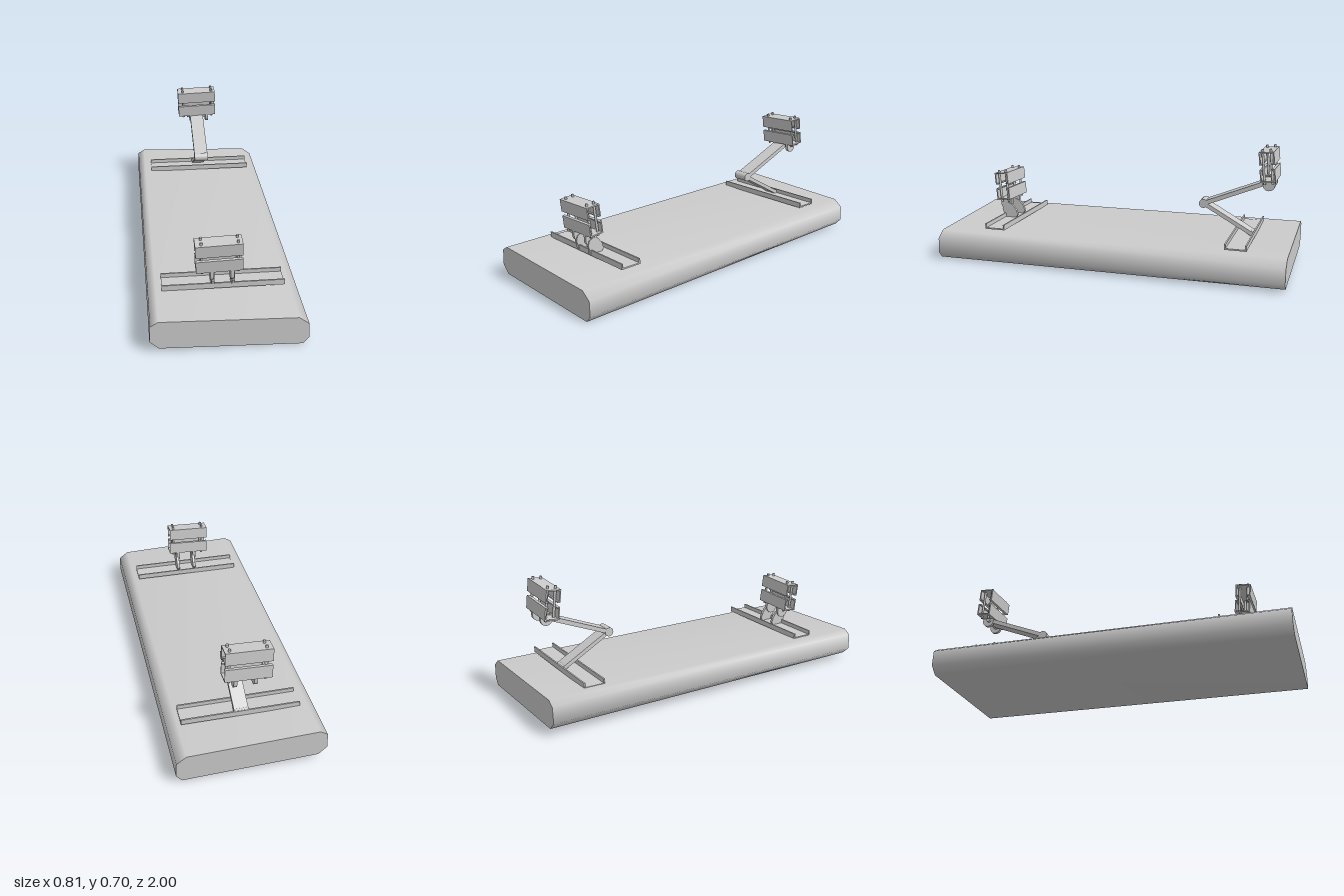
import * as THREE from 'three';

const grey = new THREE.MeshStandardMaterial({ color: 0xcccccc, side: THREE.DoubleSide });

function add(parent, name, geometry, x = 0, y = 0, z = 0) {
  const mesh = new THREE.Mesh(geometry, grey);
  mesh.name = name;
  mesh.position.set(x, y, z);
  parent.add(mesh);
  return mesh;
}

function group(parent, name, x = 0, y = 0, z = 0) {
  const g = new THREE.Group();
  g.name = name;
  g.position.set(x, y, z);
  parent.add(g);
  return g;
}

const toShape = pts => new THREE.Shape(pts.map(([a, b]) => new THREE.Vector2(a, b)));

// Extrudes a (z, y) outline along x, centred on x = 0
function extrudeX(pts, width) {
  const geo = new THREE.ExtrudeGeometry(toShape(pts), { depth: width, bevelEnabled: false });
  return geo.rotateY(-Math.PI / 2).translate(width / 2, 0, 0);
}

// Chamfered base, slightly rolled and skewed from front to back
function buildSlab(parent) {
  const ring = [[-0.35, 0.025], [0.37, 0.002], [0.4, 0.037], [0.397, 0.12],
    [0.345, 0.16], [-0.35, 0.182], [-0.39, 0.157], [-0.395, 0.068]];
  const n = ring.length, pos = [], index = [];
  const back = ring.map(([x, y]) => [x - 0.01, y + 0.012]);
  ring.forEach(([x, y]) => pos.push(x, y, 1));
  back.forEach(([x, y]) => pos.push(x, y, -1));
  for (let i = 0; i < n; i++) {
    const j = (i + 1) % n;
    index.push(i, i + n, j, j, i + n, j + n);
  }
  const geo = new THREE.BufferGeometry();
  geo.setAttribute('position', new THREE.Float32BufferAttribute(pos, 3));
  geo.setIndex(index);
  geo.computeVertexNormals();
  const slab = group(parent, 'slab');
  add(slab, 'slabSides', geo);
  add(slab, 'slabFrontEnd', new THREE.ShapeGeometry(toShape(ring)), 0, 0, 1);
  const mirrored = back.map(([x, y]) => [-x, y]);
  add(slab, 'slabBackEnd', new THREE.ShapeGeometry(toShape(mirrored)).rotateY(Math.PI), 0, 0, -1);
}

// Shallow U-shaped track lying across the slab
function buildTrack(parent, name, y, z) {
  const w = 0.06, t = 0.008, h = 0.031;
  const profile = [[-w, 0], [w, 0], [w, h], [w - t, h], [w - t, t], [t - w, t], [t - w, h], [-w, h]];
  add(parent, name, extrudeX(profile, 0.638), 0, y, z);
}

// Two facing lipped channels joined by four pins
function buildClamp(parent, name, x, y, z) {
  const clamp = group(parent, name, x, y, z);
  clamp.rotation.set(0.1, 0, 0.035);
  const d = 0.041, h = 0.035, t = 0.007, l = 0.017;
  const half = [[d, h], [d, -h], [d - l, -h], [d - l, t - h], [d - t, t - h], [d - t, h - t]];
  const profile = [...half, ...half.map(([a, b]) => [-a, b]).reverse()];
  for (const s of [1, -1]) {
    const outline = profile.map(([a, b]) => [a, b * s]);
    add(clamp, s > 0 ? 'upperChannel' : 'lowerChannel', extrudeX(outline, 0.242), 0, s * 0.047, 0);
    for (const pz of [-0.022, 0.022]) {
      add(clamp, 'pin', new THREE.CylinderGeometry(0.007, 0.007, 0.193, 16), s * 0.093 + 0.004, 0, pz);
    }
  }
  return clamp;
}

// Rounded lug hanging below a clamp
function lugGeometry(halfWidth, drop) {
  const pts = [[halfWidth, 0], [-halfWidth, 0]];
  for (let i = 0; i <= 12; i++) {
    const a = Math.PI + (i / 12) * Math.PI;
    pts.push([halfWidth * Math.cos(a), -drop + halfWidth * Math.sin(a)]);
  }
  return extrudeX(pts, 0.018);
}

// Flat bar running between two (z, y) points
function buildBar(parent, name, x, width, thickness, [z0, y0], [z1, y1]) {
  const length = Math.hypot(z1 - z0, y1 - y0);
  const bar = add(parent, name, new THREE.BoxGeometry(width, thickness, length),
    x, (y0 + y1) / 2, (z0 + z1) / 2);
  bar.rotation.x = -Math.atan2(y1 - y0, z1 - z0);
}

export function createModel() {
  const model = new THREE.Group();
  model.name = 'clampBoard';
  buildSlab(model);
  buildTrack(model, 'frontTrack', 0.181, 0.675);
  buildTrack(model, 'rearTrack', 0.186, -0.725);

  // Front clamp on two short hinged legs
  const front = group(model, 'frontHolder');
  buildClamp(front, 'frontClamp', -0.026, 0.381, 0.728);
  const foot = [[0.74, 0.184], [0.665, 0.184], [0.65, 0.205], [0.66, 0.235], [0.685, 0.268],
    [0.715, 0.28], [0.742, 0.265], [0.75, 0.235], [0.74, 0.21]];
  for (const x of [-0.063, 0.042]) {
    add(front, 'upperLug', lugGeometry(0.036, 0.036), x, 0.305, 0.724);
    add(front, 'foot', extrudeX(foot, 0.016), x + 0.007, 0, 0);
  }

  // Rear clamp on a folding arm
  const rear = group(model, 'rearHolder');
  const elbow = [-0.49, 0.358];
  buildClamp(rear, 'rearClamp', -0.003, 0.598, -0.848);
  for (const x of [-0.04, 0.064]) {
    add(rear, 'rearLug', lugGeometry(0.034, 0.028), x, 0.525, -0.856);
  }
  buildBar(rear, 'lowerArm', -0.004, 0.078, 0.022, [-0.765, 0.203], elbow);
  buildBar(rear, 'upperArm', -0.004, 0.084, 0.024, elbow, [-0.85, 0.505]);
  const joint = (name, r, z, y, w) =>
    add(rear, name, new THREE.CylinderGeometry(r, r, w, 24).rotateZ(Math.PI / 2), -0.004, y, z);
  joint('elbowJoint', 0.025, elbow[0], elbow[1], 0.086);
  joint('footJoint', 0.014, -0.765, 0.203, 0.078);
  joint('wristPin', 0.012, -0.85, 0.5, 0.12);

  return model;
}
